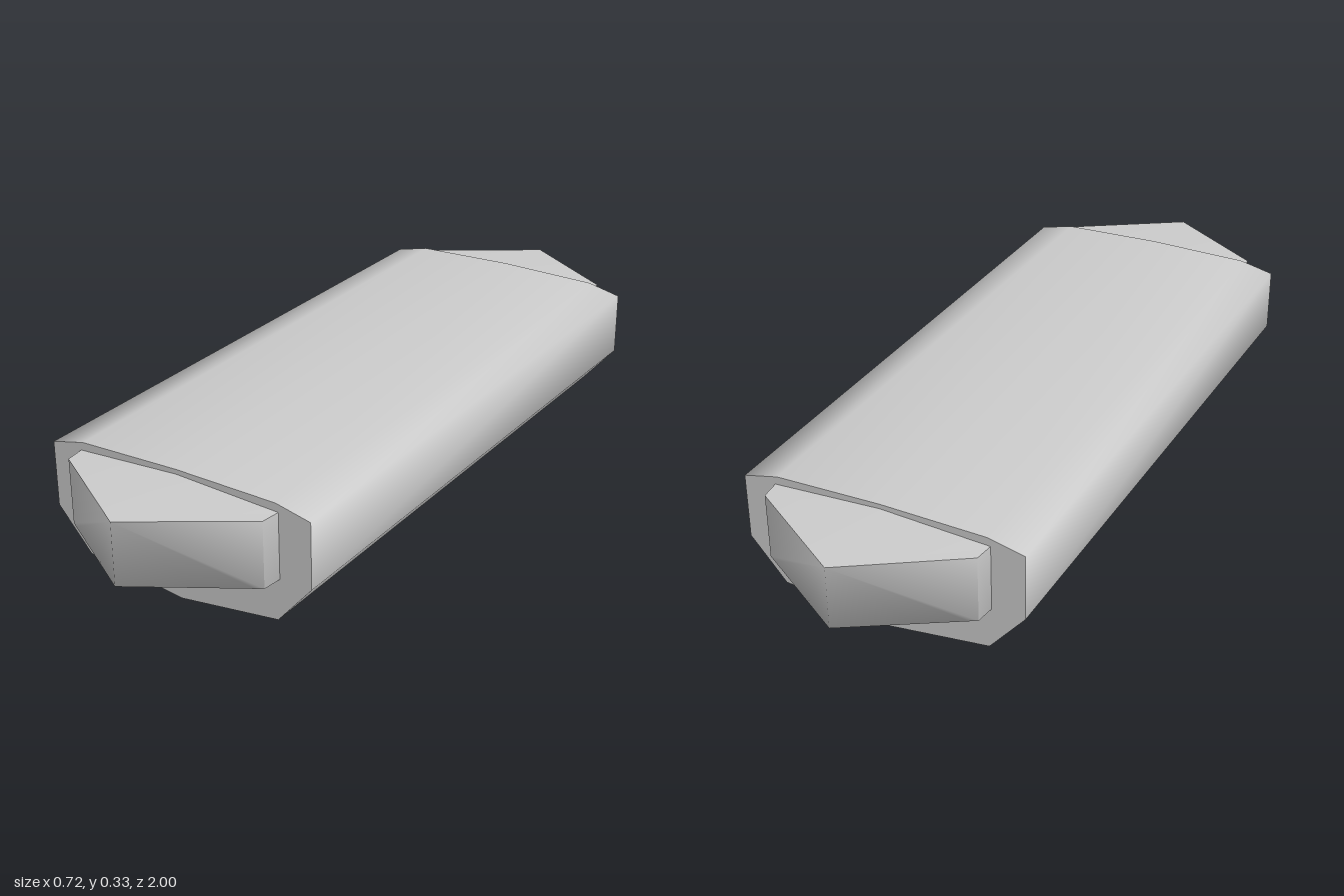
import * as THREE from 'three';
import { toCreasedNormals } from 'three/addons/utils/BufferGeometryUtils.js';

const HALF = 0.775; // half length of the main body

// Wedge nose pointing to +z: lofted from its root outline to a swept-back prow
function noseGeometry() {
  const root = [
    [0, 0.063], [0.16, 0.1], [0.26, 0.13], [0.277, 0.143], [0.277, 0.31],
    [0, 0.325], [-0.277, 0.31], [-0.277, 0.143], [-0.26, 0.13], [-0.095, 0.105],
  ];
  const n = root.length;
  const positions = [];
  const index = [];
  for (const [x, y] of root) positions.push(x, y, HALF);
  for (const [x, y] of root) {
    const t = Math.abs(x) / 0.277;
    const prowY = y > 0.3 ? 0.31 : 0.15 - 0.007 * t;
    positions.push(x * 0.98, prowY, 1 - 0.175 * t);
  }
  for (let i = 0; i < n; i++) {
    const j = (i + 1) % n;
    index.push(i, j, n + j, i, n + j, n + i);
    // Front faces fan out from the top of the prow
    if (i !== 5 && j !== 5) index.push(n + 5, n + i, n + j);
  }
  const geometry = new THREE.BufferGeometry();
  geometry.setAttribute('position', new THREE.Float32BufferAttribute(positions, 3));
  geometry.setIndex(index);
  return toCreasedNormals(geometry, 1.35);
}

export function createModel() {
  const group = new THREE.Group();
  const material = new THREE.MeshStandardMaterial({ color: 0xcccccc });

  // Main body: faceted outline extruded along z, soft along its length
  const half = [[0, 0.003], [0.27, 0.037], [0.361, 0.143], [0.361, 0.31], [0.27, 0.331], [0, 0.337]];
  const mirrored = half.slice(1, -1).reverse().map(([x, y]) => [-x, y]);
  const outline = new THREE.Shape([...half, ...mirrored].map(([x, y]) => new THREE.Vector2(x, y)));
  const bodyGeometry = new THREE.ExtrudeGeometry(outline, { depth: 2 * HALF, bevelEnabled: false });
  bodyGeometry.translate(0, 0, -HALF);
  const body = new THREE.Mesh(toCreasedNormals(bodyGeometry, 1.4), material);
  body.name = 'body';
  group.add(body);

  // The same nose at both ends, turned half round at the back
  const nose = noseGeometry();
  for (const [name, turn] of [['frontNose', 0], ['backNose', Math.PI]]) {
    const mesh = new THREE.Mesh(nose, material);
    mesh.name = name;
    mesh.rotation.y = turn;
    group.add(mesh);
  }
  return group;
}
